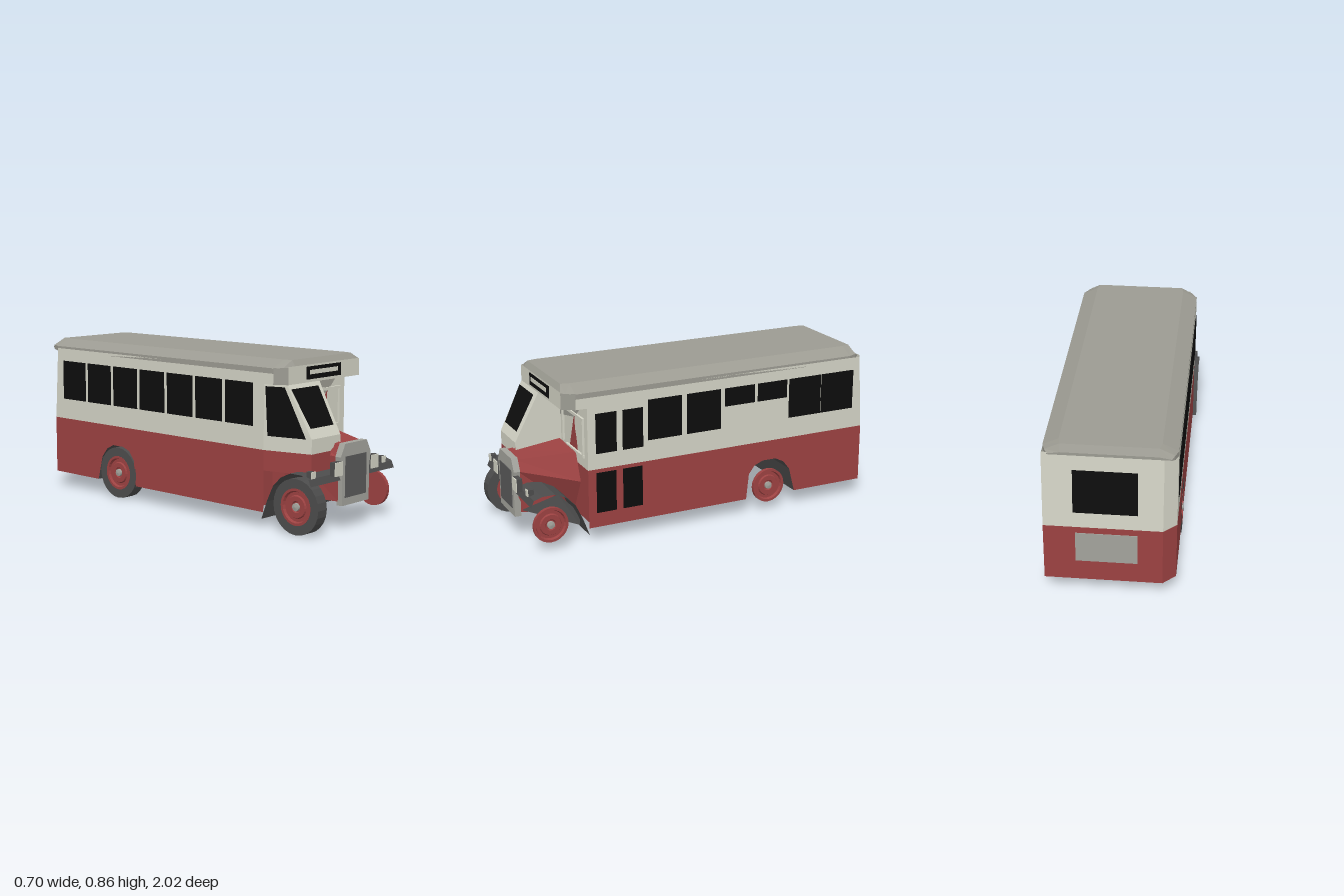
import * as THREE from 'three';

const mat = (name, color) => {
  const m = new THREE.MeshStandardMaterial({ color, side: THREE.DoubleSide });
  m.name = name;
  m.flatShading = true;
  return m;
};
const cream = mat('cream', 0xd4d4c6), red = mat('red', 0x9c4242), roofGrey = mat('roofGrey', 0x9c9b92),
  dark = mat('darkGrey', 0x4c4c4c), black = mat('black', 0x0d0d0d), metal = mat('paleMetal', 0xa3a39c),
  grilleGrey = mat('grilleGrey', 0x5a5a5a);

export function createModel() {
  const bus = new THREE.Group();
  const add = (name, geo, m) => {
    const mesh = new THREE.Mesh(geo, m);
    mesh.name = name;
    bus.add(mesh);
    return mesh;
  };
  const finish = (pts, index) => {
    const g = new THREE.BufferGeometry();
    g.setAttribute('position', new THREE.Float32BufferAttribute(pts.flat(), 3));
    g.setIndex(index);
    const flat = g.toNonIndexed();
    flat.computeVertexNormals();
    return flat;
  };
  // Flat sheet from 3D corners, triangulated with one axis dropped
  const sheet = (name, m, pts, drop) => {
    const flat = pts.map(p => new THREE.Vector2(...p.filter((_, i) => i !== drop)));
    return add(name, finish(pts, THREE.ShapeUtils.triangulateShape(flat, []).flat()), m);
  };
  // Skin between successive open cross-sections
  const loft = (name, m, rings) => {
    const n = rings[0].length, index = [];
    for (let r = 0; r < rings.length - 1; r++)
      for (let i = 0; i < n - 1; i++) {
        const a = r * n + i, b = a + n;
        index.push(a, a + 1, b, b, a + 1, b + 1);
      }
    return add(name, finish(rings.flat(), index), m);
  };
  // Box from its limits
  const box = (name, m, x0, x1, y0, y1, z0, z1) => {
    const b = add(name, new THREE.BoxGeometry(x1 - x0, y1 - y0, z1 - z0), m);
    b.position.set((x0 + x1) / 2, (y0 + y1) / 2, (z0 + z1) / 2);
    return b;
  };

  const W = 0.33, F = 0.66, WAIST = 0.405, SILL = 0.085, EAVE = 0.81, AXLE = -0.41;
  const rear = y => -1 + Math.max(0, y - WAIST) * 0.065;
  const arch = [[-0.575, SILL], [-0.54, 0.22], [-0.5, 0.27], [-0.45, 0.295], [-0.37, 0.295],
    [-0.32, 0.275], [-0.285, 0.23], [-0.27, SILL]];

  // Side walls: the right rear corner is cut off by a chamfer
  for (const s of [1, -1]) {
    const cut = s > 0 ? 0 : 0.065, x = s * W;
    sheet('lowerSide', red, [[F, SILL], [F, WAIST], [-1 + cut, WAIST], [-1 + cut, SILL], ...arch]
      .map(([z, y]) => [x, y, z]), 0);
    sheet('upperSide', cream, [[F, WAIST], [F, EAVE], [rear(EAVE) + cut, EAVE], [-1 + cut, WAIST]]
      .map(([z, y]) => [x, y, z]), 0);
  }
  // Rear wall with chamfered corner
  const back = (y, dz = 0) => [[W, y, rear(y) - dz], [-0.265, y, rear(y) - dz], [-W, y, rear(y) + 0.065]];
  loft('lowerRear', red, [back(SILL), back(WAIST)]);
  loft('upperRear', cream, [back(WAIST), back(EAVE + 0.01)]);
  box('rearPlate', metal, -0.14, 0.17, 0.2, 0.37, -1.003, -0.998);
  sheet('rearWindow', black, [[0.18, 0.49], [0.18, 0.73], [-0.14, 0.73], [-0.14, 0.49]]
    .map(([x, y]) => [x, y, rear(y) - 0.004]), 2);
  sheet('rearFloor', red, [[W, SILL, -1], [-0.265, SILL, -1], [-W, SILL, -0.935], [-W, SILL, -0.575],
    [W, SILL, -0.575]], 1);
  loft('rearWheelTunnel', dark, [-W, W].map(x => arch.map(([z, y]) => [x, y, z])));

  // Roof skin, drawn in at both ends
  const hoop = (z, w, e, s, t, k) => [[-w, e, z], [-w, s, z], [-k, t, z], [k, t, z], [w, s, z], [w, e, z]];
  const hoops = [hoop(0.785, 0.29, 0.825, 0.826, 0.83, 0.24), hoop(0.765, 0.305, 0.81, 0.825, 0.86, 0.24),
    hoop(0.72, W, 0.795, 0.822, 0.86, 0.25), hoop(-0.91, W, 0.795, 0.822, 0.86, 0.25),
    hoop(-0.955, 0.315, 0.8, 0.825, 0.86, 0.24), hoop(-0.978, 0.3, 0.81, 0.815, 0.825, 0.24)];
  loft('roof', roofGrey, hoops);
  sheet('roofRearEdge', roofGrey, hoops[5], 2);

  // Canopy over the cab and bonnet
  loft('canopyFront', cream, [0.74, 0.83].map(y => [[-0.29, y, 0.785], [0.29, y, 0.785]]));
  for (const s of [1, -1]) {
    loft('canopyCorner', roofGrey, [0.74, 0.825].map(y => [[s * 0.29, y, 0.785], [s * W, y, 0.72]]));
    loft('canopySide', cream, [0.74, 0.82].map(y => [[s * W, y, 0.72], [s * W, y, F]]));
  }
  sheet('canopyUnderside', roofGrey, [[-W, 0.74, F], [-W, 0.74, 0.72], [-0.29, 0.74, 0.785],
    [0.29, 0.74, 0.785], [W, 0.74, 0.72], [W, 0.74, F]], 1);
  box('routeBoard', black, -0.15, 0.13, 0.755, 0.82, 0.785, 0.789);
  box('routeBlind', cream, -0.125, 0.1, 0.78, 0.802, 0.788, 0.792);

  // Left side windows, door panes and lower door panes
  const panes = [[0.5, 0.615, 0.49, 0.705], [0.35, 0.465, 0.49, 0.705], [0.125, 0.32, 0.52, 0.74],
    [-0.105, 0.095, 0.52, 0.74], [-0.31, -0.13, 0.64, 0.74], [-0.51, -0.33, 0.64, 0.74],
    [-0.725, -0.525, 0.52, 0.74], [-0.935, -0.73, 0.52, 0.74], [0.505, 0.615, 0.165, 0.385],
    [0.355, 0.465, 0.165, 0.385]];
  for (const [z0, z1, y0, y1] of panes) box('leftWindow', black, W, W + 0.004, y0, y1, z0, z1);
  // Right side windows
  for (let i = 0; i < 7; i++) {
    const z = -0.86 + i * 0.21;
    box('rightWindow', black, -W - 0.004, -W, 0.52, 0.74, z, z + 0.187);
  }

  // Front bulkhead beside the cab
  box('upperBulkhead', cream, -W, W, WAIST, 0.74, F - 0.01, F);
  box('lowerBulkhead', red, -W, W, 0.12, WAIST, F - 0.01, F);
  const front = z => ([x, y]) => [x, y, z];
  sheet('bulkheadShadePanel', roofGrey, [[-0.04, 0.605], [-0.04, 0.74], [0.31, 0.74], [0.25, 0.72],
    [0.175, 0.65]].map(front(F + 0.004)), 2);
  sheet('bulkheadRedPanel', red, [[0.1, 0.48], [0.16, 0.645], [0.175, 0.657], [0.175, 0.59],
    [0.19, 0.56], [0.21, 0.48]].map(front(F + 0.006)), 2);
  for (const y of [0.46, 0.66]) box('bulkheadRail', cream, 0.05, 0.29, y, y + 0.015, F, F + 0.012);
  for (const x of [0, 0.275]) box('bulkheadPost', cream, x, x + 0.012, 0.475, 0.66, F, F + 0.012);

  // Half-width driver's cab
  const cabZ = y => 0.92 - Math.max(0, y - 0.48) * 0.53;
  const cabX = y => -0.27 - Math.max(0, y - 0.48) * 0.1;
  sheet('cabFront', cream, [[-0.27, 0.48], [-0.04, 0.48], [-0.04, 0.74], [cabX(0.74), 0.74]]
    .map(([x, y]) => [x, y, cabZ(y)]), 2);
  sheet('cabFrontBand', cream, [[-0.27, WAIST], [-0.12, WAIST], [-0.04, 0.455], [-0.04, 0.48], [-0.27, 0.48]]
    .map(front(0.92)), 2);
  sheet('cabFrontLower', red, [[-0.27, 0.3], [-0.12, 0.3], [-0.12, WAIST], [-0.27, WAIST]].map(front(0.92)), 2);
  sheet('windscreen', black, [[-0.255, 0.53], [-0.07, 0.53], [-0.07, 0.72], [-0.285, 0.72]]
    .map(([x, y]) => [x, y, cabZ(y) + 0.006]), 2);
  sheet('cabInnerSide', cream, [[0.92, 0.44], [0.92, 0.48], [cabZ(0.74), 0.74], [F, 0.74], [F, 0.44]]
    .map(([z, y]) => [-0.04, y, z]), 0);
  const cabEdge = y => [[-W, y, F], [cabX(y), y, cabZ(y)]];
  loft('cabOuterSide', cream, [cabEdge(WAIST), cabEdge(0.48), cabEdge(0.74)]);
  loft('cabOuterLower', red, [cabEdge(0.3), cabEdge(WAIST)]);
  const glass = y => cabEdge(y).map((p, i, e) => {
    const q = e[1 - i], t = 0.1;
    return [p[0] + (q[0] - p[0]) * t - 0.008, y, p[2] + (q[2] - p[2]) * t];
  });
  loft('cabSideWindow', black, [glass(0.48), glass(0.73)]);
  box('cabFootwell', red, -0.26, -0.12, 0.15, 0.3, F, 0.74);

  // Bonnet tapering to the radiator
  loft('bonnet', red, [
    [[-0.15, 0.15], [-0.15, 0.4], [-0.05, 0.47], [0.19, 0.465], [0.25, 0.32], [0.15, 0.13]].map(front(0.67)),
    [[-0.11, 0.15], [-0.12, 0.38], [-0.09, 0.435], [0.09, 0.435], [0.12, 0.38], [0.11, 0.15]].map(front(0.965))]);
  const surround = new THREE.Shape([[-0.11, 0.13], [0.115, 0.13], [0.113, 0.3], [0.125, 0.38], [0.09, 0.445],
    [-0.09, 0.445], [-0.125, 0.38], [-0.113, 0.3]].map(p => new THREE.Vector2(...p)));
  add('radiatorSurround', new THREE.ExtrudeGeometry(surround, { depth: 0.035, bevelEnabled: false }), metal)
    .position.z = 0.955;
  box('radiatorGrille', grilleGrey, -0.088, 0.085, 0.17, 0.38, 0.988, 0.994);
  sheet('bonnetValance', dark, [[0.11, 0.16, 0.95], [0.2, 0.25, 0.78], [0.27, 0.16, 0.69], [0.275, 0.09, 0.69]], 2);

  // Full-width front mudguard
  const guard = [[0.98, 0.262], [0.965, 0.298], [0.92, 0.313], [0.85, 0.313], [0.79, 0.285], [0.74, 0.235],
    [0.7, 0.15], [0.665, 0.055]];
  loft('frontMudguard', dark, [-0.35, 0.347].map(x => guard.map(([z, y]) => [x, y, z])));

  // Lamps with pale lenses
  for (const [x, y, w, h, z] of [[-0.15, 0.325, 0.06, 0.07, 0.995], [0.15, 0.325, 0.06, 0.07, 0.995],
    [-0.32, 0.316, 0.03, 0.034, 0.97], [0.265, 0.316, 0.03, 0.034, 0.97]]) {
    box('lampBody', dark, x - w / 2, x + w / 2, y - h / 2, y + h / 2, z - 0.03, z);
    box('lampLens', cream, x - w / 2, x + w / 2, y - h / 2, y + h / 2, z, z + 0.005);
  }

  // Wheels: dished hubs on both sides, tyres on the right
  const lathe = (name, m, pts, side, z) => {
    const g = new THREE.LatheGeometry(pts.map(p => new THREE.Vector2(...p)), 24);
    g.rotateZ(-Math.PI / 2);
    const w = add(name, g, m);
    w.scale.x = side;
    w.position.set(side * 0.31, 0.143, z);
  };
  for (const z of [0.87, AXLE]) {
    for (const s of [1, -1]) {
      lathe('wheelHub', red, [[0, 0], [0.095, 0], [0.095, 0.021], [0.082, 0.021], [0.076, 0.008], [0.06, 0.008],
        [0.055, 0.016], [0.03, 0.016], [0.025, 0.01], [0, 0.01]], s, z);
      lathe('wheelCap', metal, [[0.02, 0.008], [0.02, 0.022], [0, 0.026]], s, z);
    }
    lathe('tyre', dark, [[0.09, -0.048], [0.143, -0.048], [0.143, 0.02], [0.094, 0.02], [0.09, -0.048]], -1, z);
  }
  return bus;
}
